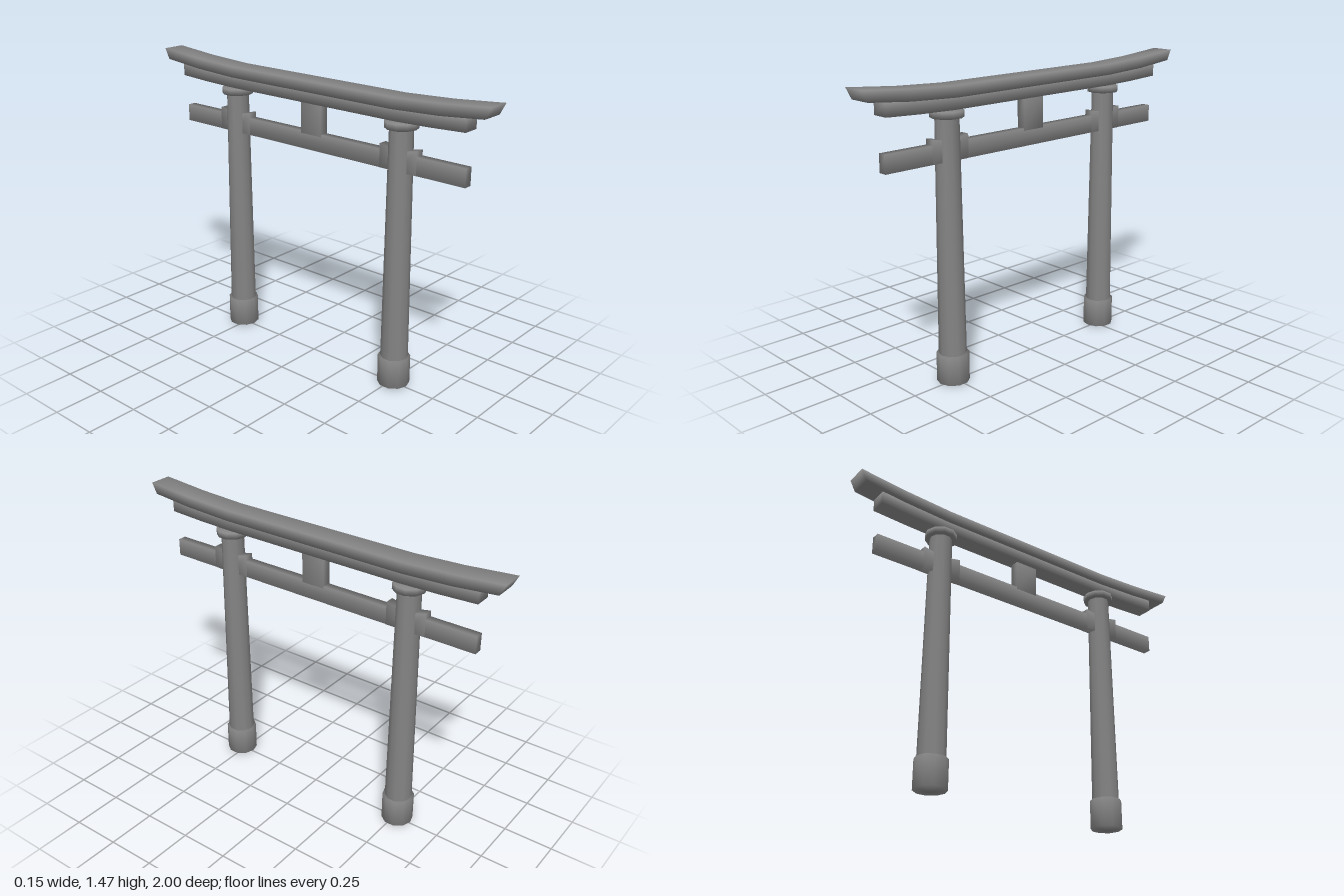
import * as THREE from 'three';
import { mergeVertices } from 'three/addons/utils/BufferGeometryUtils.js';

const material = new THREE.MeshStandardMaterial({ color: 0x848484 });
const SIDES = 10;
const PILLAR_Z = 0.517;

// Join shared corners so that shading runs smoothly over every edge
function weld(geometry) {
  geometry.deleteAttribute('uv');
  geometry.deleteAttribute('normal');
  const welded = mergeVertices(geometry);
  welded.computeVertexNormals();
  return welded;
}

function addMesh(parent, name, geometry, y = 0) {
  const mesh = new THREE.Mesh(weld(geometry), material);
  mesh.name = name;
  mesh.position.y = y;
  parent.add(mesh);
}

// Box given by its width, bottom, top and length along z
function addBar(parent, name, width, bottom, top, length) {
  const geometry = new THREE.BoxGeometry(width, top - bottom, length);
  addMesh(parent, name, geometry, (bottom + top) / 2);
}

// Round part turned from [radius, height] points
function addTurned(parent, name, points) {
  const profile = points.map(([r, y]) => new THREE.Vector2(r, y));
  addMesh(parent, name, new THREE.LatheGeometry(profile, SIDES));
}

// Wedge block whose top dips towards the shaft
function addWedges(parent, width, bottom, top, length, dip) {
  const geometry = new THREE.BoxGeometry(width, top - bottom, length, 1, 1, 2);
  const p = geometry.attributes.position;
  for (let i = 0; i < p.count; i++) {
    if (p.getY(i) > 0 && Math.abs(p.getZ(i)) < 0.01) p.setY(i, p.getY(i) - dip);
  }
  addMesh(parent, 'wedges', geometry, (bottom + top) / 2);
}

// Beam that is level in the middle and sweeps up towards both ends
function addSweptBeam(parent, name, { width, bottom, height, half, rise, undercut }) {
  const geometry = new THREE.BoxGeometry(width, height, 2, 1, 1, 8);
  const p = geometry.attributes.position;
  for (let i = 0; i < p.count; i++) {
    const u = Math.abs(p.getZ(i));
    const t = Math.max(0, 2 * u - 1);
    let z = Math.min(u, 0.5) + t * (half - 0.5);
    // Ends lean outwards towards the top
    if (p.getY(i) < 0 && t === 1) z -= undercut;
    p.setZ(i, Math.sign(p.getZ(i)) * z);
    p.setY(i, p.getY(i) + rise * t ** 1.5);
  }
  addMesh(parent, name, geometry, bottom + height / 2);
}

export function createModel() {
  const gate = new THREE.Group();
  gate.name = 'gate';

  // Pillars with footing, tapered shaft, collar and wedges
  for (const side of [1, -1]) {
    const pillar = new THREE.Group();
    pillar.name = side > 0 ? 'frontPillar' : 'backPillar';
    pillar.position.z = side * PILLAR_Z;
    addTurned(pillar, 'footing', [[0, 0], [0.079, 0.008], [0.079, 0.153], [0, 0.153]]);
    addTurned(pillar, 'shaft', [[0.0675, 0.14], [0.0562, 1.31]]);
    addTurned(pillar, 'collar', [[0, 1.295], [0.079, 1.295], [0.079, 1.326], [0, 1.326]]);
    addWedges(pillar, 0.047, 1.094, 1.208, 0.205, 0.02);
    gate.add(pillar);
  }

  // Tie beam and the strut above its middle
  addBar(gate, 'tieBeam', 0.043, 1.094, 1.181, 1.75);
  addBar(gate, 'centreStrut', 0.047, 1.17, 1.345, 0.125);

  // Lintel and the wider top rail
  addSweptBeam(gate, 'lintel', { width: 0.084, bottom: 1.329, height: 0.064, half: 0.875, rise: 0.014, undercut: 0 });
  addSweptBeam(gate, 'topRail', { width: 0.116, bottom: 1.386, height: 0.054, half: 1, rise: 0.033, undercut: 0.028 });

  return gate;
}
